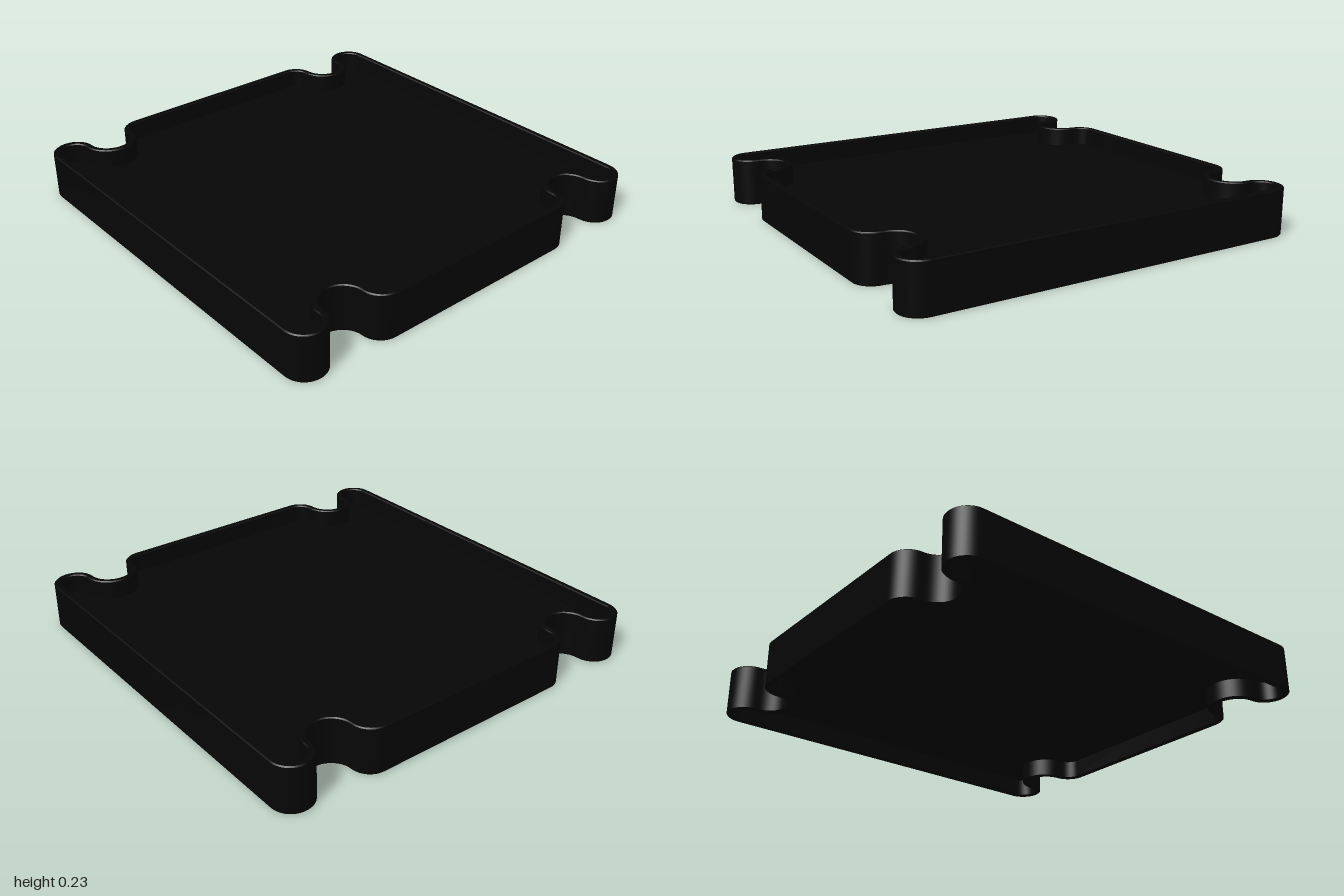
import * as THREE from 'three';
import { toCreasedNormals } from 'three/addons/utils/BufferGeometryUtils.js';

const HEIGHT = 0.23, RIM = 0.03, BEVEL = 0.005;

// Notched square outline, inset by d, counter-clockwise
function outline(d) {
  const half = [];
  const arc = (cx, r, from, to, skip) => {
    const n = Math.abs(to - from) > 2 ? 24 : 12;
    for (let i = skip ? 1 : 0; i <= n; i++) {
      const a = from + (to - from) * i / n;
      half.push(new THREE.Vector2(cx + r * Math.cos(a), 0.9 + r * Math.sin(a)));
    }
  };
  const convex = 0.1 - d, concave = 0.1 + d, PI = Math.PI;
  arc(0.9, convex, 0, PI, false);       // corner lobe
  arc(0.7, concave, 0, -PI, true);      // notch
  arc(0.5, convex, 0, PI / 2, true);    // shoulder
  arc(-0.5, convex, PI / 2, PI, false); // the same, mirrored
  arc(-0.7, concave, 0, -PI, true);
  arc(-0.9, convex, 0, PI, true);
  return [...half, ...half.map(p => p.clone().negate())];
}

// Sweep a closed [inset, height] profile round the outline
function sweepRim(profile) {
  const position = [], index = [];
  const count = outline(0).length;
  for (const [d, y] of profile) {
    for (const p of outline(d)) position.push(p.x, y, -p.y);
  }
  profile.forEach((_, j) => {
    const next = (j + 1) % profile.length;
    for (let i = 0; i < count; i++) {
      const k = (i + 1) % count;
      const a = j * count + i, b = j * count + k;
      const c = next * count + k, e = next * count + i;
      index.push(a, b, c, a, c, e);
    }
  });
  const geometry = new THREE.BufferGeometry();
  geometry.setAttribute('position', new THREE.Float32BufferAttribute(position, 3));
  geometry.setIndex(index);
  return toCreasedNormals(geometry, 0.6);
}

export function createModel() {
  const group = new THREE.Group();
  group.name = 'notchedTray';
  const black = new THREE.MeshStandardMaterial({ color: 0x060606 });
  black.name = 'black';

  // Raised wall with lightly bevelled edges
  const rim = new THREE.Mesh(sweepRim([
    [BEVEL, 0], [0, BEVEL], [0, HEIGHT - BEVEL], [BEVEL, HEIGHT],
    [RIM - BEVEL, HEIGHT], [RIM, HEIGHT - BEVEL], [RIM, BEVEL], [RIM - BEVEL, 0],
  ]), black);
  rim.name = 'rim';
  group.add(rim);

  // Panel at mid height, recessed on both faces
  const thickness = 0.04;
  const panelGeometry = new THREE.ExtrudeGeometry(
    new THREE.Shape(outline(RIM - 0.01)), { depth: thickness, bevelEnabled: false });
  panelGeometry.rotateX(-Math.PI / 2);
  const panel = new THREE.Mesh(panelGeometry, black);
  panel.name = 'panel';
  panel.position.y = (HEIGHT - thickness) / 2;
  group.add(panel);

  return group;
}
